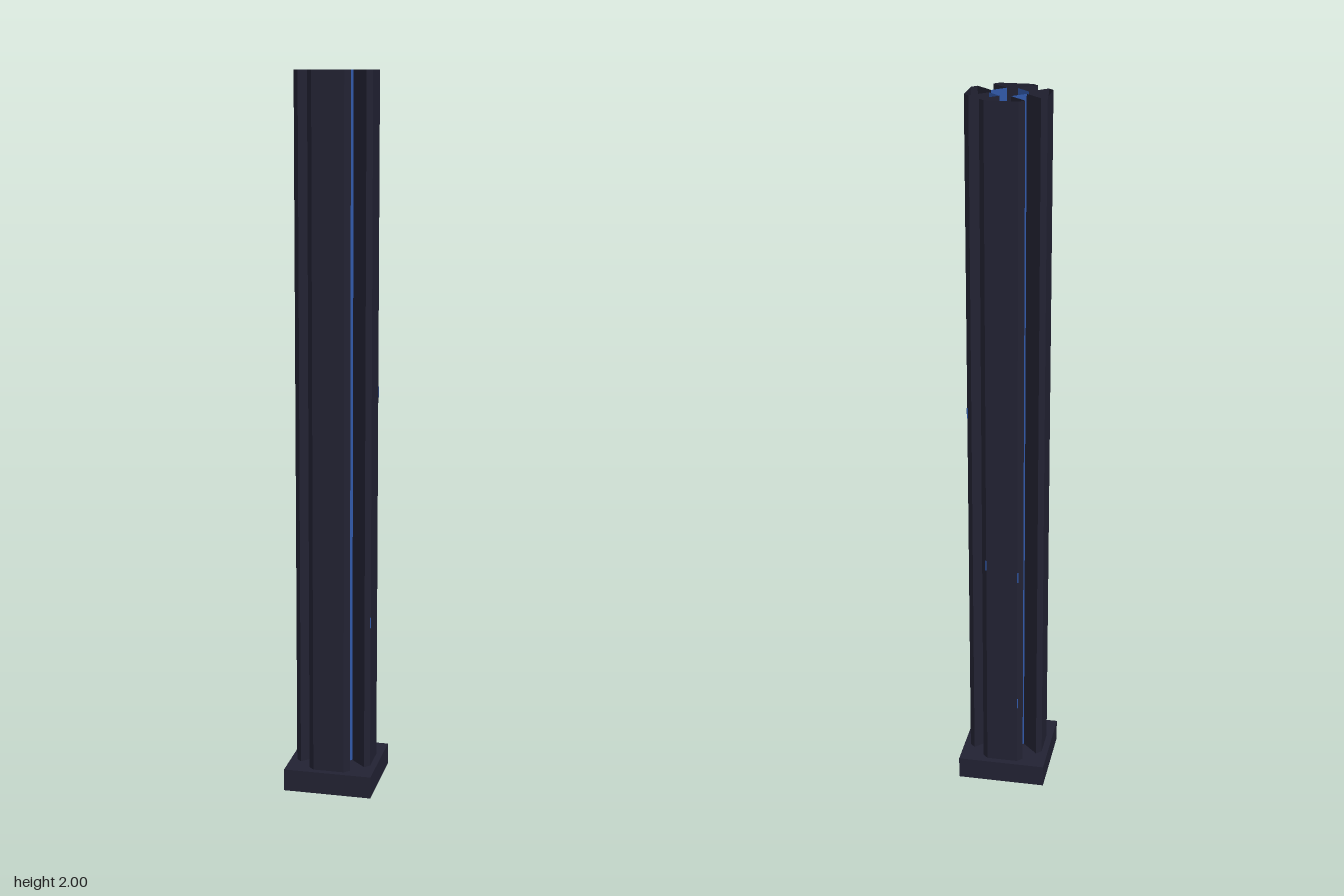
import * as THREE from 'three';

const H = 2;           // full height
const BASE_H = 0.063;  // height of the plinth

// Upright open wall following a plan outline of [x, z] points
function wall(points, y0, y1) {
  const pos = [];
  for (let i = 0; i < points.length - 1; i++) {
    const [ax, az] = points[i], [bx, bz] = points[i + 1];
    pos.push(ax, y0, az, bx, y0, bz, bx, y1, bz, ax, y0, az, bx, y1, bz, ax, y1, az);
  }
  const g = new THREE.BufferGeometry();
  g.setAttribute('position', new THREE.Float32BufferAttribute(pos, 3));
  g.computeVertexNormals();
  return g;
}

export function createModel() {
  const group = new THREE.Group();
  const dark = new THREE.MeshStandardMaterial({ color: 0x222233, side: THREE.DoubleSide });
  dark.name = 'dark metal';
  const blue = new THREE.MeshStandardMaterial({ color: 0x3058a8, side: THREE.DoubleSide });
  blue.name = 'blue light';

  const add = (parent, name, geometry, material) => {
    const m = new THREE.Mesh(geometry, material);
    m.name = name;
    parent.add(m);
    return m;
  };

  // Plinth: square rim, hollow underneath, closed by a top plate
  const square = (s, Type) => new Type([[-s, -s], [s, -s], [s, s], [-s, s]].map(p => new THREE.Vector2(...p)));
  const rim = square(0.125, THREE.Shape);
  rim.holes.push(square(0.105, THREE.Path));
  const rimGeo = new THREE.ExtrudeGeometry(rim, { depth: BASE_H, bevelEnabled: false });
  rimGeo.rotateX(-Math.PI / 2);
  add(group, 'baseRim', rimGeo, dark);
  const plate = add(group, 'basePlate', new THREE.BoxGeometry(0.212, 0.006, 0.212), dark);
  plate.position.y = BASE_H - 0.003;

  // Half outline of a shell: face corner, chamfer end, inner end of the channel wall
  const half = [[0.044, 0.107], [0.0585, 0.0925], [0.0145, 0.0485]];
  const outline = [...half.map(([x, z]) => [-x, z]).reverse(), ...half];
  const strip = [[0.0145, 0.0485], [0.0485, 0.0145]];

  // Four shells with a lit strip at the bottom of each corner channel
  for (let i = 0; i < 4; i++) {
    const side = new THREE.Group();
    side.name = 'side' + (i + 1);
    side.rotation.y = i * Math.PI / 2;
    add(side, 'panelShell', wall(outline, 0.002, H), dark);
    add(side, 'lightStrip', wall(strip, 0.002, H), blue);
    group.add(side);
  }

  // Tiny marker lights along the shell edges: x, z, height
  const markers = [[0.1065, 0.0453, 0.49], [0.1065, -0.0453, 1.13],
    [0.0453, -0.1065, 0.7], [-0.0453, -0.1065, 0.67], [-0.0453, -0.1065, 0.26]];
  for (const [x, z, y] of markers) {
    const m = add(group, 'markerLight', new THREE.BoxGeometry(0.003, 0.03, 0.002), blue);
    m.position.set(x, y, z);
    m.rotation.y = Math.atan2(Math.sign(x), Math.sign(z));
  }
  return group;
}
